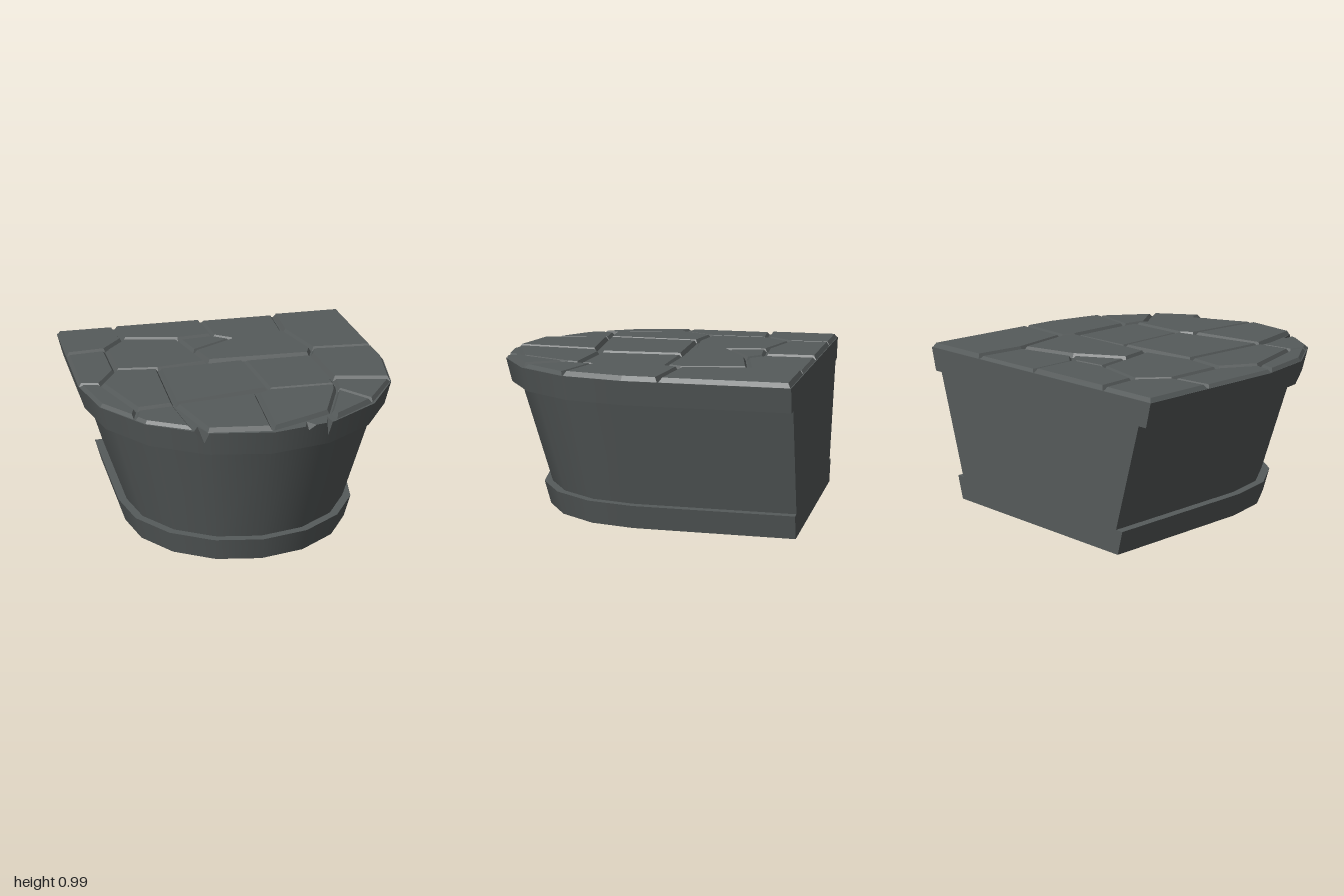
import * as THREE from 'three';

const stone = new THREE.MeshStandardMaterial({ color: 0x565b5b });
stone.name = 'dark grey stone';

// Chips in the rim: x of the left edge, deepest point and right edge, depth, inner point
const chips = [
  { xs: [-0.45, -0.4, -0.37], depth: 0.075, inner: [-0.415, 0.81] },
  { xs: [0.2, 0.225, 0.27], depth: 0.03, inner: [0.225, 0.89] },
  { xs: [0.335, 0.362, 0.375], depth: 0.09, inner: [0.365, 0.84] },
];

// Half of an even sixteen-sided curve, with straight sides running to the back
const corners = Array.from({ length: 9 }, (_, i) => {
  const a = Math.PI * (1 - i / 8);
  return { x: Math.cos(a), z: Math.sin(a) };
});
function frontPoint(x) {
  const i = corners.findIndex((c) => c.x > x);
  const a = corners[i - 1], b = corners[i];
  return { x, z: a.z + ((b.z - a.z) * (x - a.x)) / (b.x - a.x) };
}
const plan = [...corners];
for (const chip of chips) {
  chip.xs.forEach((x, k) => plan.push(k === 1 ? { ...frontPoint(x), chip } : frontPoint(x)));
}
// A corner inside a chip's span would bridge the gap, so it is left out
const open = (p) => !chips.some(({ xs }) => p.x > xs[0] && p.x < xs[2]);
const outline = plan.filter((p) => p.chip || open(p)).sort((a, b) => a.x - b.x);
outline.unshift({ x: -1, z: -1 });
outline.push({ x: 1, z: -1 });

const place = ({ x, z }, r) => [x * r, z > 0 ? z * r : z];

function mesh(name, geometry) {
  const m = new THREE.Mesh(geometry, stone);
  m.name = name;
  return m;
}

function triangles(name, positions) {
  const g = new THREE.BufferGeometry();
  g.setAttribute('position', new THREE.Float32BufferAttribute(positions, 3));
  g.computeVertexNormals();
  return mesh(name, g);
}

// Wall or ledge between two outlines: smooth round the curve, sharp at its edges
function band(name, r0, y0, r1, y1, chipped = false) {
  const pos = [], nor = [], idx = [];
  outline.forEach((p, i) => {
    const drop = chipped && p.chip ? p.chip.depth : 0;
    const rTop = drop ? r1 - (drop * (r1 - r0)) / (y1 - y0) : r1;
    const [ax, az] = place(p, r0), [bx, bz] = place(p, rTop);
    pos.push(ax, y0, az, bx, y1 - drop, bz);
    const out = new THREE.Vector2(p.x, Math.max(p.z, 0)).normalize();
    const n = new THREE.Vector3(out.x * (y1 - y0), r0 - r1, out.y * (y1 - y0)).normalize();
    nor.push(...n, ...n);
    if (i) {
      const a = 2 * i - 2;
      idx.push(a, a + 2, a + 3, a, a + 3, a + 1);
    }
  });
  const g = new THREE.BufferGeometry();
  g.setAttribute('position', new THREE.Float32BufferAttribute(pos, 3));
  g.setAttribute('normal', new THREE.Float32BufferAttribute(nor, 3));
  g.setIndex(idx);
  return mesh(name, g);
}

const flat = (pts) => new THREE.ShapeGeometry(new THREE.Shape(pts.map(([x, y]) => new THREE.Vector2(x, y))));

// Move every edge of a counter-clockwise polygon inwards by d
function inset(pts, d) {
  const n = pts.length;
  const dir = (a, b) => new THREE.Vector2(b[0] - a[0], b[1] - a[1]).normalize();
  return pts.map((p, i) => {
    const u = dir(pts[(i + n - 1) % n], p), v = dir(p, pts[(i + 1) % n]);
    const k = d / (1 + u.dot(v));
    return [p[0] - (u.y + v.y) * k, p[1] + (u.x + v.x) * k];
  });
}

// Points [x, z] where the joints of the paving meet, from back to front
const backJoints = [
  [-1, -1], [-0.61, -1], [0, -1], [0.52, -1], [1, -1],
  [-0.59, -0.735], [-0.735, -0.555], [-1, -0.53], [0.01, -0.67], [-0.23, -0.645],
  [0.125, -0.575], [0.5, -0.66], [0.59, -0.255], [1, -0.22], [-0.18, -0.395],
  [-0.13, -0.18], [-0.735, -0.17], [-0.465, -0.13], [0.55, -0.16], [-1, 0.02],
];
const frontJoints = [
  [-0.865, 0.055], [-0.485, 0.49], [-0.72, 0.515], [0.1, -0.16], [0.13, 0.375],
  [0.56, 0.385], [0.565, 0.295], [1, 0], [0.924, 0.383], [-0.924, 0.383],
  [-0.755, 0.63], [0.7, 0.7], [0.54, 0.475], [0.395, 0.81], [0.41, 0.9],
  [-0.707, 0.705], [-0.45, 0.865], [0.04, 0.425], [0, 0.98], [-0.38, 0.92], [0.24, 0.88],
];
const joints = [...backJoints, ...frontJoints];

// Joints round each paving stone
const stones = [
  [0, 1, 5, 6, 7], [1, 2, 8, 9, 5], [2, 3, 11, 10, 8], [3, 4, 13, 12, 11],
  [5, 9, 14, 15, 17, 16, 6], [9, 8, 10, 14], [14, 10, 11, 12, 18, 15],
  [7, 6, 16, 20, 19], [16, 17, 21, 22, 20], [17, 23, 24, 21], [23, 18, 26, 25, 24],
  [12, 13, 27, 28, 26, 18], [19, 20, 22, 30, 29], [26, 28, 31, 32], [32, 31, 34, 33],
  [22, 21, 36, 35, 30], [21, 37, 38, 39], [24, 25, 32, 33, 40, 38, 37],
];

// Paving stone with bevelled sides
function pavingStone(ring, top) {
  const pts = ring.map((j) => [joints[j][0], -joints[j][1]]).reverse();
  const low = inset(pts, 0.004), high = inset(pts, 0.021);
  const g = new THREE.Group();
  g.name = 'pavingStone';
  g.add(mesh('stoneTop', flat(high).rotateX(-Math.PI / 2).translate(0, top, 0)));
  const pos = [];
  low.forEach((a, i) => {
    const j = (i + 1) % low.length;
    const A = [a[0], 0.958, -a[1]], B = [low[j][0], 0.958, -low[j][1]];
    const C = [high[j][0], top, -high[j][1]], D = [high[i][0], top, -high[i][1]];
    pos.push(...A, ...B, ...C, ...A, ...C, ...D);
  });
  g.add(triangles('stoneBevel', pos));
  return g;
}

export function createModel() {
  const model = new THREE.Group();
  model.name = 'stonePlatform';

  // Foot, tapered body and overhanging rim
  const side = [[0.728, 0], [0.768, 0.15], [0.715, 0.15], [0.905, 0.81], [0.964, 0.81], [1, 0.96]];
  ['foot', 'footLedge', 'body', 'rimUnderside', 'rim'].forEach((name, i) => {
    model.add(band(name, ...side[i], ...side[i + 1], name === 'rim'));
  });

  // Flat back and bottom
  const back = [...side, ...side.map(([x, y]) => [-x, y]).reverse()];
  model.add(mesh('back', flat(back).rotateY(Math.PI).translate(0, 0, -1)));
  model.add(mesh('bottom', flat(outline.map((p) => place(p, side[0][0]))).rotateX(Math.PI / 2)));

  // Floor of the joints, cut back at the chips
  const floor = outline.map((p) => (p.chip ? [p.chip.inner[0], -p.chip.inner[1]] : [p.x, -p.z]));
  model.add(mesh('jointFloor', flat(floor).rotateX(-Math.PI / 2).translate(0, 0.96, 0)));

  // Sloping faces inside the chips
  const chipFaces = [];
  outline.forEach((p, i) => {
    if (!p.chip) return;
    const { depth, inner } = p.chip;
    const edge = (q) => [q.x, 0.96, q.z];
    const [dx, dz] = place(p, 1 - depth * 0.24);
    const deep = [dx, 0.96 - depth, dz], apex = [inner[0], 0.96, inner[1]];
    chipFaces.push(...edge(outline[i - 1]), ...deep, ...apex, ...deep, ...edge(outline[i + 1]), ...apex);
  });
  model.add(triangles('chips', chipFaces));

  // Irregular paving, each stone at a slightly different height
  const paving = new THREE.Group();
  paving.name = 'paving';
  stones.forEach((ring, i) => paving.add(pavingStone(ring, 0.984 + 0.005 * Math.sin(i * 2.4))));
  model.add(paving);
  return model;
}
